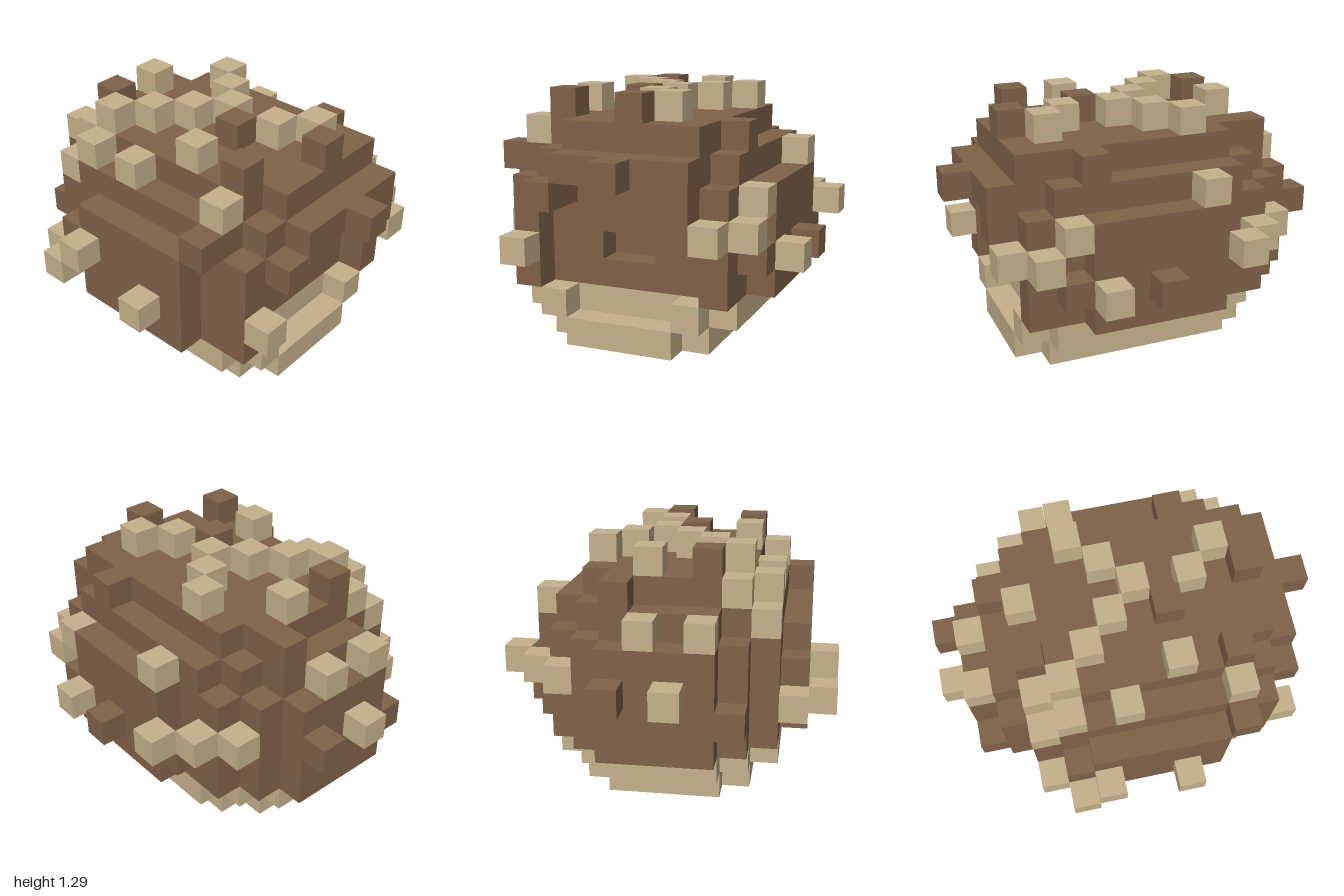
import * as THREE from 'three';
import { mergeGeometries } from 'three/addons/utils/BufferGeometryUtils.js';

const U = 2 / 14; // edge of one cube

// Half width of each row by its distance from the middle row
const SMALL = [3, 3, 3, 3, 2];
const MEDIUM = [4, 4, 4, 4, 3, 2];
const LARGE = [5, 5, 5, 4, 4, 3, 2];
const LAYERS = [SMALL, MEDIUM, LARGE, LARGE, LARGE, LARGE, MEDIUM, SMALL];

// Single cubes standing out of the body, as [x, y, z]
const PALE = [
  [0, 8, -4], [-3, 8, -3], [-2, 8, -2], [2, 8, -2], [-1, 8, -1],
  [1, 8, -1], [0, 8, 0], [-3, 8, 1], [0, 8, 2], [1, 8, 3],
  [-3, 7, -4], [-4, 7, -3], [-4, 7, -1], [-4, 7, 3],
  [-4, 6, -4], [0, 6, -6], [-2, 6, -6], [4, 6, -2],
  [4, 5, 3], [3, 4, 5], [4, 4, 4], [5, 4, -3], [4, 4, -4], [3, 4, -5],
  [-1, 4, -7], [-6, 4, -2],
  [5, 3, 2], [-6, 3, 1], [-6, 3, -3], [-5, 3, -4], [-4, 3, 5],
];
const DARK = [
  [-2, 8, -4], [-1, 8, 1], [0, 8, 4], [-3, 8, 3],
  [3, 7, 2], [2, 7, 4], [1, 7, -5],
  [0, 6, 6], [2, 6, 5], [-5, 6, 3],
  [1, 4, -7], [-5, 4, -3], [5, 3, 0], [4, 3, 3], [4, 3, -3], [-3, 3, -6],
];

// Six face directions with the turn that aims a plane that way
const H = Math.PI / 2;
const SIDES = [
  [0, 0, 1, 0, 0], [0, 0, -1, 0, Math.PI], [1, 0, 0, 0, H],
  [-1, 0, 0, 0, -H], [0, 1, 0, -H, 0], [0, -1, 0, H, 0],
];

// True where the open face hollow removes a cube of the rounded body
function inFaceHollow(x, y, z, half) {
  if (y < 1 || y > 5) return false;
  if (z >= 6) return true;
  const end = x === -half || x === half - 1;
  if (z === 5) return y !== 5 || !end;
  if (z === 4) return y === 5 ? x >= -2 && x <= 1 : !end;
  return z === 3 && y === 3 && (x === -1 || x === 0); // mouth
}

export function createModel() {
  const group = new THREE.Group();
  const brown = new THREE.MeshStandardMaterial({ color: 0x806249 });
  brown.name = 'brown';
  const beige = new THREE.MeshStandardMaterial({ color: 0xc5b28b });
  beige.name = 'beige';

  const cells = new Map();
  const put = (x, y, z, part) => cells.set(`${x},${y},${z}`, { x, y, z, part });

  // Rounded body on a pale belly
  LAYERS.forEach((rows, y) => {
    const reach = rows.length - 1;
    for (let z = -reach; z <= reach; z++) {
      const half = rows[Math.abs(z)];
      for (let x = -half; x < half; x++) {
        if (!inFaceHollow(x, y, z, half)) put(x, y, z, y < 2 ? 'belly' : 'body');
      }
    }
  });

  // Spines
  DARK.forEach(([x, y, z]) => put(x, y, z, 'darkSpines'));
  PALE.forEach(([x, y, z]) => put(x, y, z, 'paleSpines'));

  // Keep only the outer faces of the cubes
  const faces = { body: [], belly: [], darkSpines: [], paleSpines: [] };
  for (const { x, y, z, part } of cells.values()) {
    for (const [dx, dy, dz, rx, ry] of SIDES) {
      if (cells.has(`${x + dx},${y + dy},${z + dz}`)) continue;
      const face = new THREE.PlaneGeometry(U, U);
      face.rotateX(rx).rotateY(ry);
      face.translate((x + 0.5 + dx / 2) * U, (y + 0.5 + dy / 2) * U, (z + 0.5 + dz / 2) * U);
      faces[part].push(face);
    }
  }

  const paints = { body: brown, belly: beige, darkSpines: brown, paleSpines: beige };
  for (const part of Object.keys(faces)) {
    const mesh = new THREE.Mesh(mergeGeometries(faces[part]), paints[part]);
    mesh.name = part;
    group.add(mesh);
  }
  return group;
}
